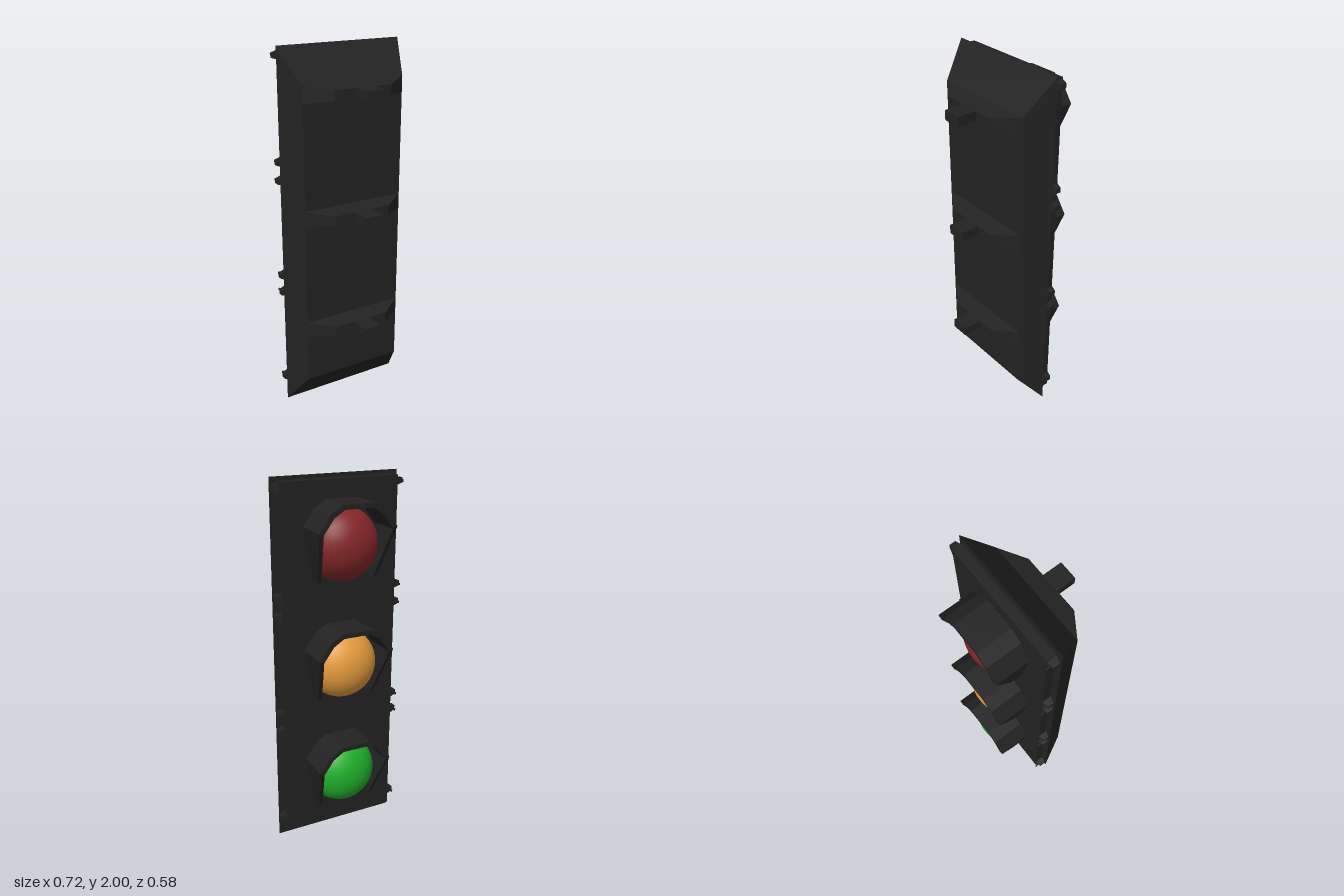
import * as THREE from 'three';

const black = new THREE.MeshStandardMaterial({ color: 0x222222, flatShading: true });
const blackThin = new THREE.MeshStandardMaterial({ color: 0x222222, flatShading: true, side: THREE.DoubleSide });

function add(parent, name, geometry, material = black) {
  const mesh = new THREE.Mesh(geometry, material);
  mesh.name = name;
  parent.add(mesh);
  return mesh;
}

// Box whose +z end has its own width and height; it runs from z = 0 to z = depth
function taperedBox(w0, h0, w1, h1, depth) {
  const g = new THREE.BoxGeometry(1, 1, depth).translate(0, 0, depth / 2);
  const p = g.attributes.position;
  for (let i = 0; i < p.count; i++) {
    const far = p.getZ(i) > depth / 2;
    p.setXY(i, p.getX(i) * (far ? w1 : w0), p.getY(i) * (far ? h1 : h0));
  }
  g.computeVertexNormals();
  return g;
}

// Faceted hood: a four-corner section (wall, rim, inner rim, inner wall) swept over an open arch
function visorGeometry() {
  const half = [[0.165, -0.17, 0.07], [0.212, 0.1, 0.185], [0.15, 0.185, 0.185], [0.085, 0.225, 0.185]];
  const arch = [...half, ...half.map(([x, y, d]) => [-x, y, d]).reverse()];
  const positions = [], index = [];
  arch.forEach(([x, y, d], i) => {
    const end = i === 0 || i === arch.length - 1;
    const ix = x * 0.89, iy = end ? y : y * 0.89;
    positions.push(x, y, 0, x, y, -d, ix, iy, -d, ix, iy, 0);
    if (i === 0) return;
    const a = (i - 1) * 4, b = i * 4;
    for (let k = 0; k < 4; k++) {
      const n = (k + 1) % 4;
      index.push(a + k, a + n, b + k, a + n, b + n, b + k);
    }
  });
  const e = (arch.length - 1) * 4;
  index.push(0, 2, 1, 0, 3, 2, e, e + 1, e + 2, e, e + 2, e + 3);
  const g = new THREE.BufferGeometry();
  g.setAttribute('position', new THREE.Float32BufferAttribute(positions, 3));
  g.setIndex(index);
  g.computeVertexNormals();
  return g;
}

export function createModel() {
  const model = new THREE.Group();
  model.name = 'trafficLight';

  // Bevelled housing, with a steeper bevel at the top and bottom
  const housing = taperedBox(0.707, 2, 0.58, 1.64, 0.145);
  const hp = housing.attributes.position;
  for (let i = 0; i < hp.count; i++) {
    hp.setY(i, hp.getY(i) + (hp.getZ(i) > 0.07 ? 1.006 : 1));
  }
  housing.computeVertexNormals();
  add(model, 'housing', housing).position.z = -0.045;

  // Lamp plate, set off from the housing by a narrow gap
  add(model, 'lampPlate', new THREE.BoxGeometry(0.65, 1.93, 0.05)).position.set(0, 1.015, -0.08);

  // Three lamps: lens and hood, with a mounting bracket on the other side
  const lamps = [['green', 0x20ad2c, 0.38], ['amber', 0xe39a3c, 1.02], ['red', 0x852629, 1.66]];
  const visor = visorGeometry();
  const dome = new THREE.SphereGeometry(0.19, 40, 16, 0, Math.PI * 2, 0, Math.PI / 2);
  dome.rotateX(-Math.PI / 2).scale(1, 1, 0.87);
  for (const [colour, color, y] of lamps) {
    const lamp = new THREE.Group();
    lamp.name = colour + 'Lamp';
    lamp.position.set(-0.005, y, -0.105);
    add(lamp, 'lens', dome, new THREE.MeshStandardMaterial({ color }));
    add(lamp, 'visor', visor, blackThin);
    model.add(lamp);

    const bracket = new THREE.Group();
    bracket.name = 'mountingBracket';
    bracket.position.set(0, y + 0.12, 0.1);
    add(bracket, 'bracketBase', taperedBox(0.58, 0.09, 0.325, 0.05, 0.088));
    add(bracket, 'bracketStub', new THREE.BoxGeometry(0.101, 0.05, 0.11)).position.set(0.0075, 0, 0.138);
    model.add(bracket);
  }

  // Clips along both long edges, with a small hinge pin on the right side
  const clip = taperedBox(0.05, 0.042, 0.032, 0.026, 0.034);
  for (const y of [0.13, 0.67, 0.77, 1.31, 1.41, 1.95]) {
    for (const side of [-1, 1]) {
      const mesh = add(model, 'edgeClip', clip);
      mesh.position.set(side * 0.325, y, -0.08);
      mesh.rotation.y = side * Math.PI / 2;
    }
    const pin = add(model, 'hingePin', new THREE.BoxGeometry(0.008, 0.012, 0.03));
    pin.position.set(-0.342, y, -0.108);
    pin.rotation.y = 0.3;
  }
  return model;
}
